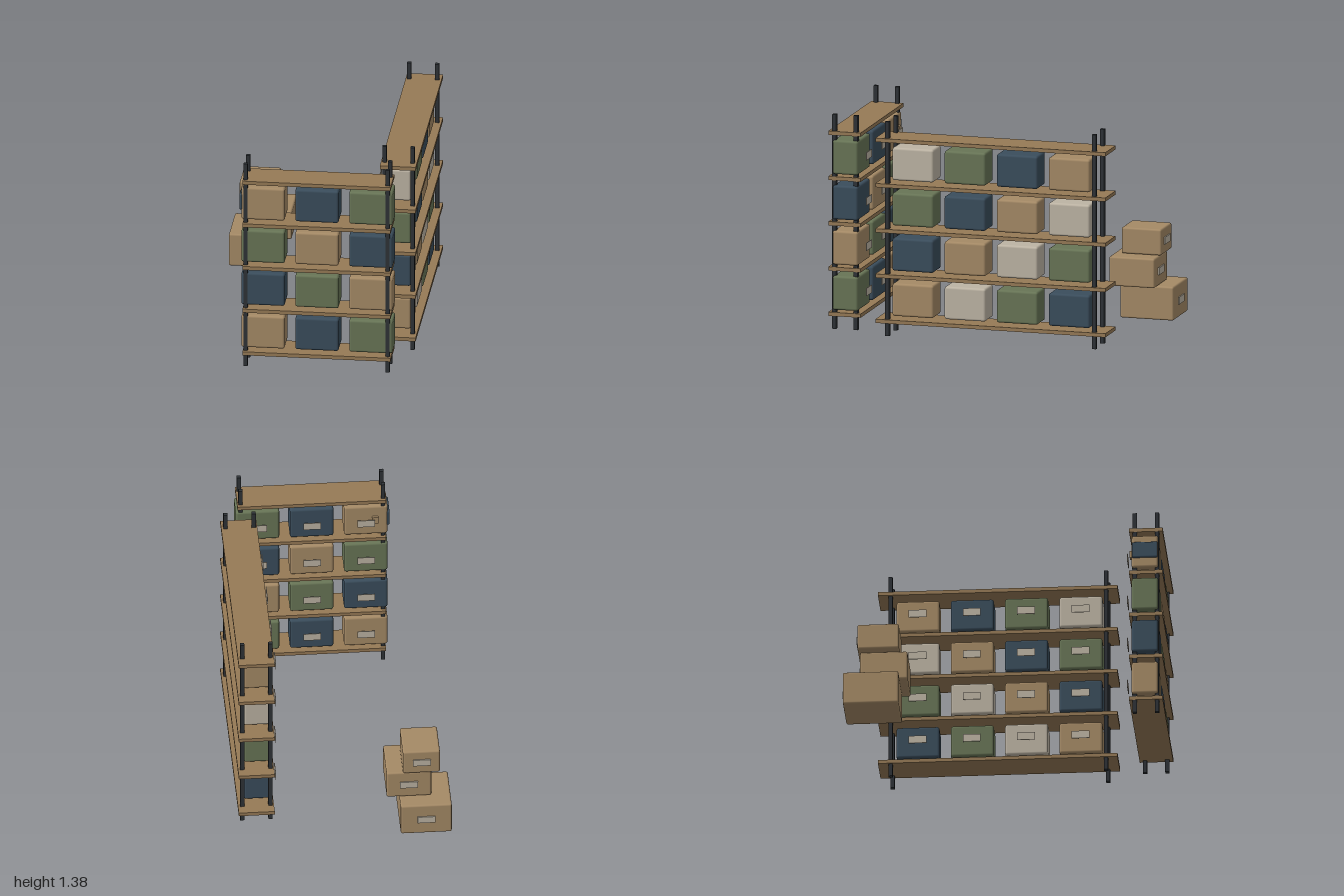
import * as THREE from 'three';
import { RoundedBoxGeometry } from 'three/addons/geometries/RoundedBoxGeometry.js';

const mat = (color) => new THREE.MeshStandardMaterial({ color });
const wood = mat(0x967a56);
const steel = mat(0x2e3236);
const paper = mat(0xbdb4a4);
const boxColors = { t: mat(0xa58a66), b: mat(0x3a4d5c), g: mat(0x687556), w: paper };

const FIRST_SHELF = 0.105, ROW = 0.29, SHELF_THICK = 0.024;

// Block given by its [min, max] range on each axis; a radius rounds its edges
function block(parent, name, material, [x0, x1], [y0, y1], [z0, z1], radius = 0) {
  const size = [x1 - x0, y1 - y0, z1 - z0];
  const geometry = radius ? new RoundedBoxGeometry(...size, 2, radius) : new THREE.BoxGeometry(...size);
  const mesh = new THREE.Mesh(geometry, material);
  mesh.name = name;
  mesh.position.set((x0 + x1) / 2, (y0 + y1) / 2, (z0 + z1) / 2);
  parent.add(mesh);
  return mesh;
}

const around = (centre, width) => [centre - width / 2, centre + width / 2];

// Four posts and five boards
function rackFrame(name, shelfX, shelfZ, postX, postZ) {
  const rack = new THREE.Group();
  rack.name = name;
  for (const x of postX) for (const z of postZ)
    block(rack, 'post', steel, around(x, 0.026), [0.01, 1.384], around(z, 0.026));
  for (let i = 0; i < 5; i++)
    block(rack, 'shelf', wood, shelfX, around(FIRST_SHELF + i * ROW, SHELF_THICK), shelfZ);
  return rack;
}

export function createModel() {
  const model = new THREE.Group();
  model.name = 'storageRacks';

  // Short rack across the front, labels toward the back
  const short = rackFrame('shortRack', [-0.389, 0.545], [0.787, 0.998], [-0.372, 0.524], [0.822, 0.962]);
  ['tbg', 'bgt', 'gtb', 'tbg'].forEach((row, r) => {
    const y = 0.134 + r * ROW;
    [...row].forEach((key, i) => {
      const x = -0.263 + i * 0.34;
      block(short, 'storageBox', boxColors[key], around(x, 0.274), [y, y + 0.218], [0.803, 0.969], 0.015);
      block(short, 'label', paper, around(x, 0.112), around(y + 0.109, 0.05), around(0.771, 0.004));
    });
  });
  // Side panel and small catch on the top corner box
  block(short, 'sidePanel', boxColors.b, [-0.413, -0.393], [1.068, 1.174], [0.805, 0.967], 0.009);
  block(short, 'catch', boxColors.t, around(-0.32, 0.04), [1.1, 1.145], [0.787, 0.806]);
  model.add(short);

  // Long rack along the side, labels toward the inside
  const long = rackFrame('longRack', [0.438, 0.664], [-0.85, 0.655], [0.46, 0.637], [-0.772, 0.582]);
  ['twgb', 'btwg', 'gbtw', 'wgbt'].forEach((row, r) => {
    const y = 0.134 + r * ROW;
    [...row].forEach((key, i) => {
      const z = 0.423 - i * 0.341;
      block(long, 'storageBox', boxColors[key], [0.453, 0.623], [y, y + 0.21], around(z, 0.27), 0.015);
      block(long, 'label', paper, around(0.416, 0.004), around(y + 0.107, 0.05), around(z, 0.112));
    });
  });
  model.add(long);

  // Loose stack of three boxes
  const stack = new THREE.Group();
  stack.name = 'boxStack';
  const pile = [
    { x: [-0.664, -0.343], y: [0, 0.216], z: [-0.992, -0.643], label: -0.505 },
    { x: [-0.543, -0.262], y: [0.218, 0.406], z: [-0.892, -0.594], label: -0.402 },
    { x: [-0.596, -0.363], y: [0.408, 0.575], z: [-0.906, -0.645], label: -0.481 },
  ];
  for (const { x, y, z, label } of pile) {
    block(stack, 'looseBox', boxColors.t, x, y, z, 0.012);
    block(stack, 'label', paper, around(label, 0.112), around((y[0] + y[1]) / 2, 0.046), [z[0] - 0.008, z[0] + 0.002]);
  }
  model.add(stack);

  return model;
}
